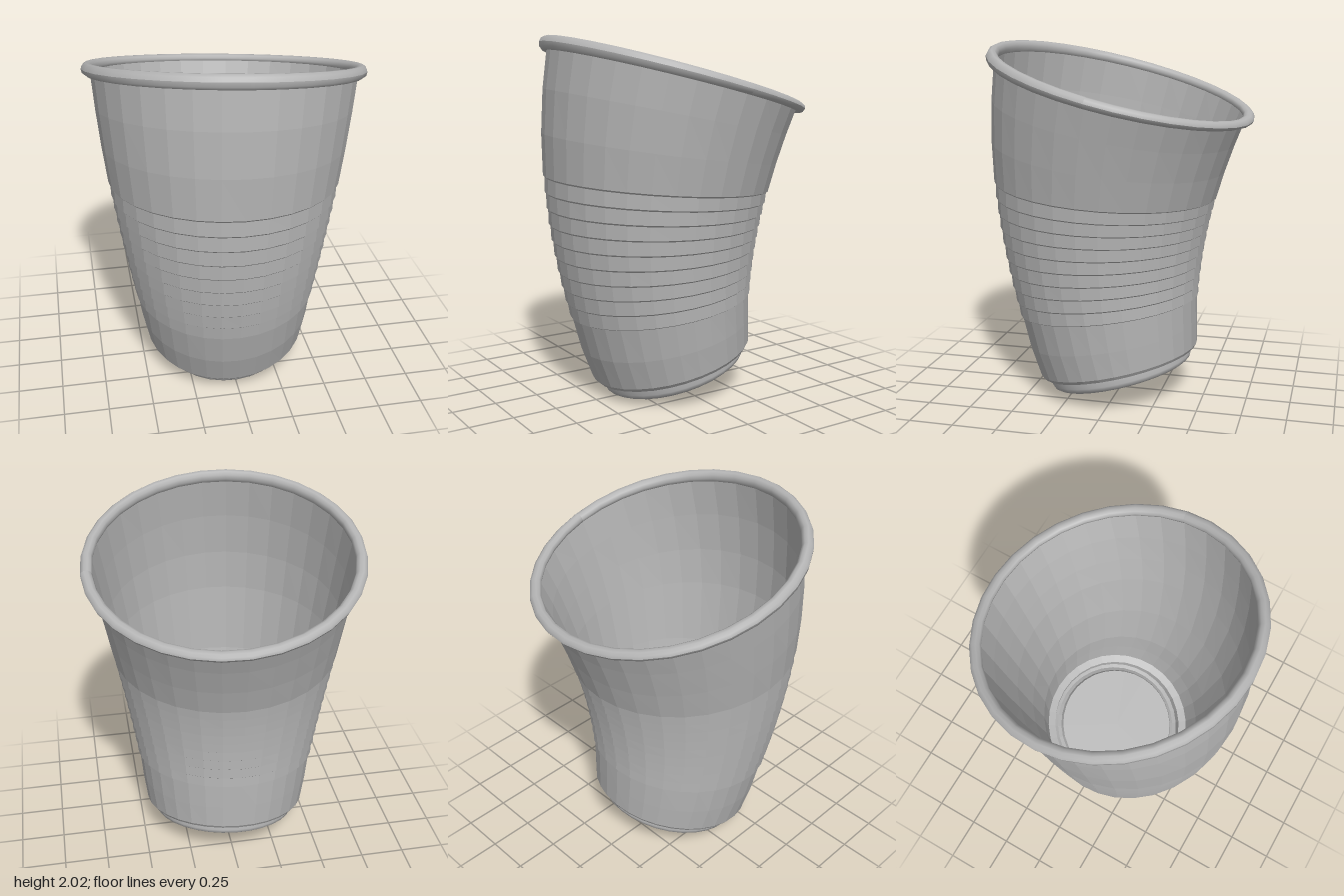
import * as THREE from 'three';

const SIDES = 32;
const BEND_RADIUS = 3.22; // radius of the arc the cup's axis follows
const DIR = new THREE.Vector2(-0.22, 0.975); // bulging side of the bend (x, z)

// Curve an upright shape (y = distance along the axis) around a far-off horizontal axis
function bend(geometry) {
  const p = geometry.attributes.position;
  for (let i = 0; i < p.count; i++) {
    const x = p.getX(i), z = p.getZ(i), a = p.getY(i) / BEND_RADIUS;
    const along = x * DIR.x + z * DIR.y;
    const across = x * DIR.y - z * DIR.x;
    const u = (BEND_RADIUS + along) * Math.cos(a) - BEND_RADIUS + 0.1;
    p.setXYZ(i, u * DIR.x + across * DIR.y,
      (BEND_RADIUS + along) * Math.sin(a) + 0.96,
      u * DIR.y - across * DIR.x);
  }
  geometry.computeVertexNormals();
  return geometry;
}

function lathe(points) {
  return new THREE.LatheGeometry(points.map(([r, s]) => new THREE.Vector2(r, s)), SIDES);
}

// Separate every face so the wall keeps its flat facets
function faceted(geometry) {
  const flat = geometry.toNonIndexed();
  flat.computeVertexNormals();
  return flat;
}

export function createModel() {
  const group = new THREE.Group();
  const plastic = new THREE.MeshStandardMaterial({ color: 0xb4b4b4 });
  plastic.name = 'grey plastic';
  const add = (name, geometry) => {
    const mesh = new THREE.Mesh(geometry, plastic);
    mesh.name = name;
    group.add(mesh);
  };

  // Outer wall: tapered base, ten stepped ridges, then a plain upper wall
  const outer = [[0.42, -0.795], [0.455, -0.795], [0.47, -0.775], [0.495, -0.62], [0.514, -0.447]];
  const ridges = 10, pitch = 0.0765;
  for (let i = 0; i < ridges; i++) {
    const s = -0.441 + i * pitch, r = 0.524 + i * 0.0125;
    outer.push([r, s]);
    if (i < ridges - 1) outer.push([r + 0.003, s + pitch - 0.008]);
  }
  outer.push([0.665, 0.44], [0.692, 0.64], [0.715, 0.83]);
  add('outerWall', faceted(bend(lathe(outer))));

  // Inner wall, running down from the rim to the floor channel
  const inner = [[0.705, 0.83], [0.68, 0.64], [0.653, 0.44], [0.622, 0.245],
    [0.565, -0.1], [0.503, -0.447], [0.482, -0.62], [0.455, -0.77], [0.41, -0.785]];
  add('innerWall', faceted(bend(lathe(inner))));

  // Raised floor and the hollow foot channel around it
  add('floor', faceted(bend(lathe([[0.41, -0.785], [0.405, -0.835],
    [0.385, -0.85], [0.365, -0.835], [0.355, -0.81], [0, -0.81]]))));

  // Rounded foot ring and recessed underside
  add('foot', bend(lathe([[0.355, -0.82], [0.362, -0.85], [0.375, -0.865], [0.395, -0.867],
    [0.413, -0.855], [0.42, -0.835], [0.42, -0.795]])));
  add('underside', faceted(bend(lathe([[0, -0.82], [0.355, -0.82]]))));

  // Rolled rim
  const rim = new THREE.TorusGeometry(0.73, 0.032, 10, SIDES);
  rim.rotateX(Math.PI / 2);
  rim.translate(0, 0.84, 0);
  add('rim', bend(rim));

  return group;
}
